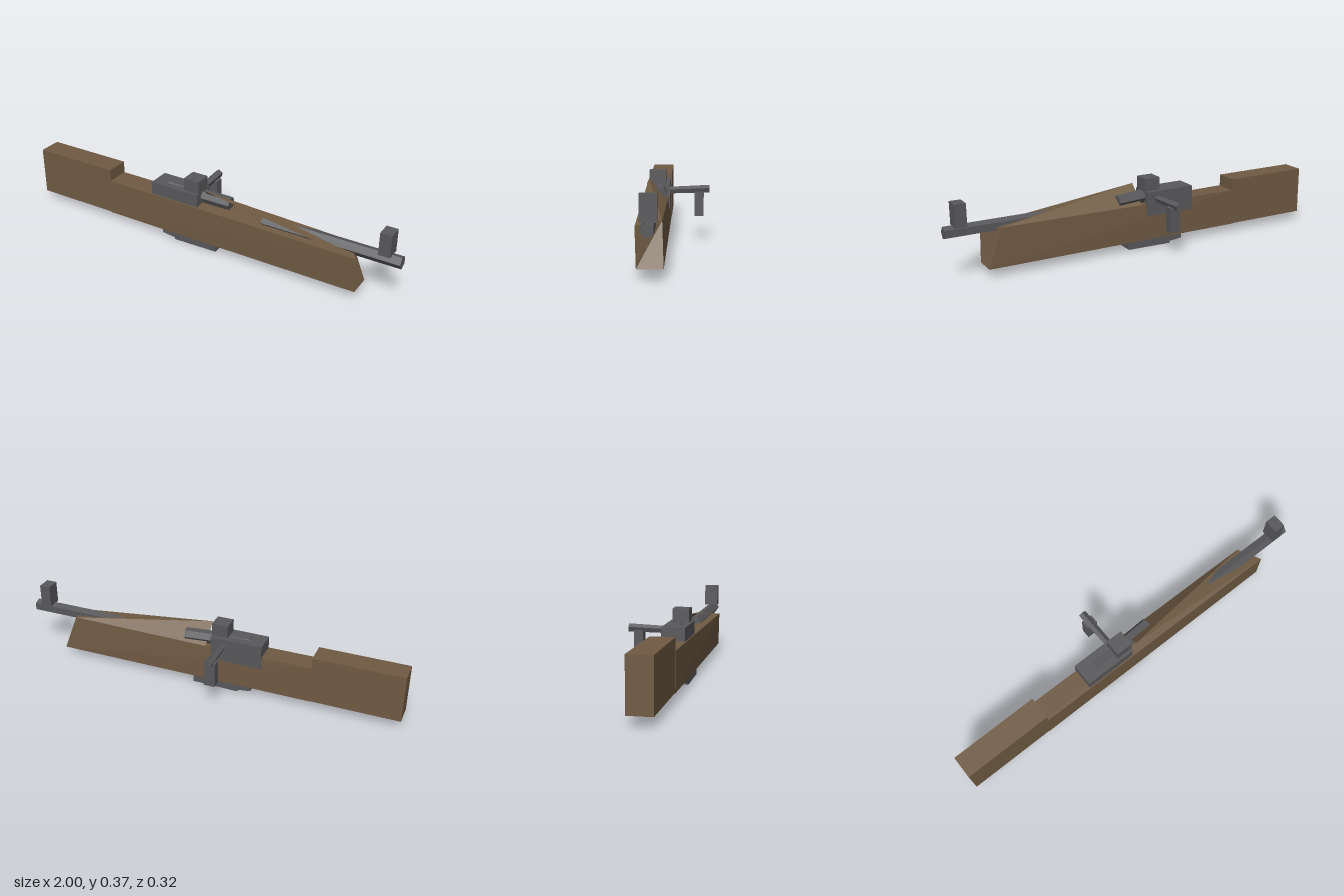
import * as THREE from 'three';

const material = (color) =>
  new THREE.MeshStandardMaterial({ color, flatShading: true, side: THREE.DoubleSide });

export function createModel() {
  const model = new THREE.Group();
  const wood = material(0x705b43);
  const metal = material(0x59595c);

  const add = (name, geometry, mat) => {
    const mesh = new THREE.Mesh(geometry, mat);
    mesh.name = name;
    model.add(mesh);
    return mesh;
  };
  // Box given by its limits on each axis
  const box = (name, mat, [x0, x1], [y0, y1], [z0, z1]) => {
    const g = new THREE.BoxGeometry(x1 - x0, y1 - y0, z1 - z0);
    g.translate((x0 + x1) / 2, (y0 + y1) / 2, (z0 + z1) / 2);
    return add(name, g, mat);
  };
  // Faceted rod between two points
  const rod = (name, from, to, r0, r1, sides) => {
    const a = new THREE.Vector3(...from), b = new THREE.Vector3(...to);
    const mesh = add(name, new THREE.CylinderGeometry(r1, r0, a.distanceTo(b), sides), metal);
    mesh.position.copy(a).add(b).multiplyScalar(0.5);
    mesh.quaternion.setFromUnitVectors(new THREE.Vector3(0, 1, 0), b.sub(a).normalize());
    return mesh;
  };

  // Butt and long fore-stock
  box('butt', wood, [-1, -0.55], [0.048, 0.292], [0.04, 0.155]);
  const stock = box('foreStock', wood, [-0.56, 0.812], [0.045, 0.232], [0.042, 0.156]);
  // The far top corner of the muzzle end is cut back
  const p = stock.geometry.attributes.position;
  for (let i = 0; i < p.count; i++) {
    if (p.getX(i) > 0 && p.getY(i) > 0.2) {
      if (p.getZ(i) < 0.1) p.setXYZ(i, 0.74, 0.236, 0.05);
      else p.setXYZ(i, 0.805, 0.222, 0.161);
    }
  }
  stock.geometry.computeVertexNormals();

  // Tilted sheet over the barrel, open at the front
  const guard = new THREE.BufferGeometry();
  guard.setAttribute('position', new THREE.Float32BufferAttribute([
    0, 0.325, 0.14, 0.805, 0.222, 0.161, 0.74, 0.236, 0.05, 0, 0.233, 0.044,
  ], 3));
  guard.setIndex([0, 1, 2, 0, 2, 3]);
  guard.computeVertexNormals();
  add('handGuard', guard, wood);

  // Receiver, bolt and barrel
  box('receiver', metal, [-0.295, -0.03], [0.17, 0.295], [0.038, 0.152]);
  rod('bolt', [-0.22, 0.272, 0.1], [0.12, 0.26, 0.08], 0.033, 0.033, 6);
  rod('barrel', [0.31, 0.237, 0.1], [1, 0.237, 0.1], 0.031, 0.031, 5);

  // Sights
  box('rearSight', metal, [-0.112, -0.028], [0.285, 0.36], [0.057, 0.139]);
  box('frontSight', metal, [0.897, 0.953], [0.262, 0.374], [0.063, 0.135]);

  // Bolt handle with its drop grip
  rod('boltHandle', [-0.09, 0.253, 0.05], [-0.095, 0.26, -0.161], 0.018, 0.021, 5);
  box('boltGrip', metal, [-0.12, -0.063], [0.125, 0.25], [-0.132, -0.086]);

  // Magazine below the stock
  const outline = new THREE.Shape([
    [-0.24, 0.06], [-0.24, 0.02], [-0.17, 0.012], [-0.17, 0.002], [0.07, 0.006], [0.07, 0.06],
  ].map(([x, y]) => new THREE.Vector2(x, y)));
  const magazine = new THREE.ExtrudeGeometry(outline, { depth: 0.096, bevelEnabled: false });
  magazine.translate(0, 0, 0.05);
  add('magazine', magazine, metal);

  return model;
}
